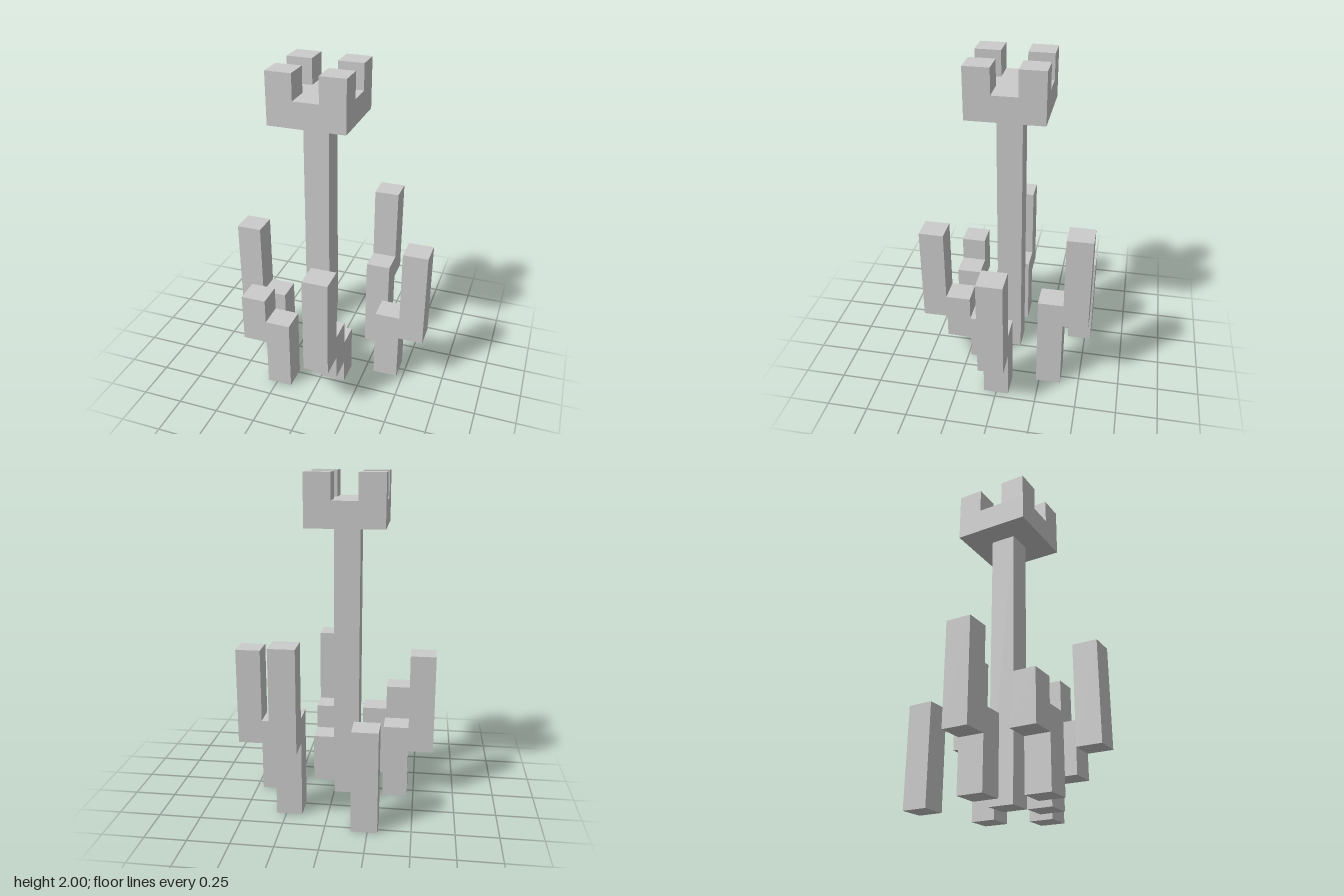
import * as THREE from 'three';

// Edge of one block; the whole plant is 13 blocks tall
const U = 2 / 13;

export function createModel() {
  const model = new THREE.Group();
  const material = new THREE.MeshStandardMaterial({ color: 0xcccccc, flatShading: true });

  // Box covering w x d columns from cell (i, k), between block heights y0 and y1.
  // Cell i spans x = i..i+1, cell k is centred on z = k.
  function block(parent, name, i, k, y0, y1, w = 1, d = 1) {
    const mesh = new THREE.Mesh(new THREE.BoxGeometry(w * U, (y1 - y0) * U, d * U), material);
    mesh.position.set((i + w / 2) * U, ((y0 + y1) / 2) * U, (k - 0.5 + d / 2) * U);
    mesh.name = name;
    parent.add(mesh);
  }

  // Central stem
  block(model, 'stem', -1, 0, 0, 11);

  // Flower cup: square base with four corner petals
  const flower = new THREE.Group();
  flower.name = 'flower';
  block(flower, 'flowerBase', -2, -1, 11, 12, 3, 3);
  for (const i of [-2, 0]) {
    for (const k of [-1, 1]) block(flower, 'petal', i, k, 12, 13);
  }
  model.add(flower);

  // Stepped leaves around the stem: each segment is [i, k, bottom, top]
  const leaves = {
    frontLeaf: [[0, 1, 0, 2], [0, 2, 1, 3], [0, 3, 2, 6]],
    leftLeaf: [[2, 0, 0, 3], [3, 0, 2, 6]],
    rightLeaf: [[-3, 0, 0, 3], [-4, 0, 2, 6]],
    frontRightLeaf: [[-2, 2, 0, 3], [-3, 2, 2, 4]],
    backLeftLeaf: [[1, -2, 0, 4], [1, -3, 3, 7]],
    backRightLeaf: [[-2, -3, 0, 4]],
  };
  for (const [name, segments] of Object.entries(leaves)) {
    const leaf = new THREE.Group();
    leaf.name = name;
    for (const s of segments) block(leaf, 'leafSegment', ...s);
    model.add(leaf);
  }

  return model;
}
